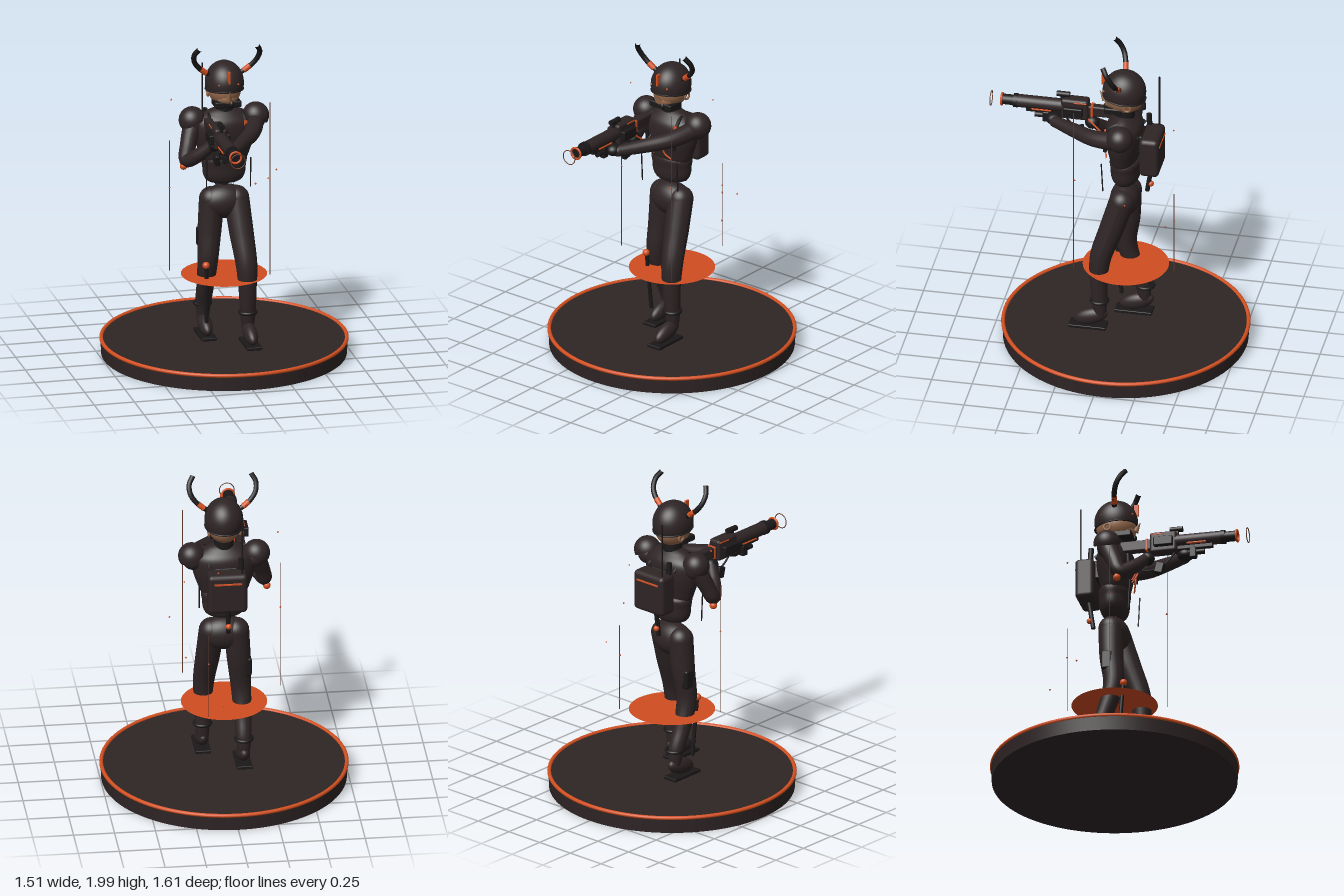
import * as THREE from 'three';
import { RoundedBoxGeometry } from 'three/addons/geometries/RoundedBoxGeometry.js';

const mat = (name, color, side = THREE.FrontSide) => {
  const m = new THREE.MeshStandardMaterial({ color, side });
  m.name = name;
  return m;
};
const V = (p) => new THREE.Vector3(p[0], p[1], p[2]);

export function createModel() {
  const root = new THREE.Group();
  root.name = 'armedFigure';
  const dark = mat('charcoal', 0x2e2425);
  const black = mat('black', 0x1b1819);
  const orange = mat('orange', 0xd45020);
  const glow = mat('orangeSheet', 0xd04c20, THREE.DoubleSide);
  const skin = mat('skin', 0x95684a);
  const wire = mat('wireBrown', 0x6b4030);

  const add = (name, geo, m, pos = [0, 0, 0], rot = [0, 0, 0], scale = [1, 1, 1], parent = root) => {
    const mesh = new THREE.Mesh(geo, m);
    mesh.name = name;
    mesh.position.set(...pos);
    mesh.rotation.set(...rot);
    mesh.scale.set(...scale);
    parent.add(mesh);
    return mesh;
  };
  const ball = (name, pos, size, m) =>
    add(name, new THREE.SphereGeometry(1, 28, 20), m, pos, [0, 0, 0], Array.isArray(size) ? size : [size, size, size]);
  const box = (name, pos, s, m, rot) =>
    add(name, new RoundedBoxGeometry(s[0], s[1], s[2], 2, Math.min(...s) * 0.22), m, pos, rot);
  const rod = (name, a, b, r, m, sides = 16) => {
    const d = V(b).sub(V(a));
    const mesh = add(name, new THREE.CylinderGeometry(r, r, d.length(), sides), m);
    mesh.position.copy(V(a)).addScaledVector(d, 0.5);
    mesh.quaternion.setFromUnitVectors(new THREE.Vector3(0, 1, 0), d.normalize());
    return mesh;
  };
  const cable = (name, pts, r, m) =>
    add(name, new THREE.TubeGeometry(new THREE.CatmullRomCurve3(pts.map(V)), 28, r, 8), m);
  // Tube of varying radius through [x, y, z, r] points, with rounded ends
  const limb = (name, pts, m) => {
    const curve = new THREE.CatmullRomCurve3(pts.map(V));
    const n = 32, sides = 20;
    const geo = new THREE.TubeGeometry(curve, n, 1, sides);
    const p = geo.attributes.position;
    for (let i = 0; i <= n; i++) {
      const c = curve.getPointAt(i / n);
      const t = curve.getUtoTmapping(i / n) * (pts.length - 1);
      const k = Math.min(Math.floor(t), pts.length - 2);
      const r = THREE.MathUtils.lerp(pts[k][3], pts[k + 1][3], t - k);
      for (let j = 0; j <= sides; j++) {
        const q = i * (sides + 1) + j;
        const v = new THREE.Vector3().fromBufferAttribute(p, q).sub(c).multiplyScalar(r).add(c);
        p.setXYZ(q, v.x, v.y, v.z);
      }
    }
    geo.computeVertexNormals();
    add(name, geo, m);
    for (const e of [pts[0], pts[pts.length - 1]]) ball(name + 'End', e.slice(0, 3), e[3], m);
  };
  const lathe = (name, pts, m, pos, scale) =>
    add(name, new THREE.LatheGeometry(new THREE.SplineCurve(pts.map((p) => new THREE.Vector2(...p))).getPoints(40), 40),
      m, pos, [0, 0, 0], scale);

  // Display base with rim, and floating sheet disc
  const BZ = -0.05;
  add('base', new THREE.CylinderGeometry(0.75, 0.745, 0.098, 96), dark, [0, 0.054, BZ]);
  add('baseRim', new THREE.TorusGeometry(0.744, 0.012, 12, 96), orange, [0, 0.102, BZ], [Math.PI / 2, 0, 0]);
  add('glowDisc', new THREE.CircleGeometry(0.262, 64), glow, [0, 0.51, BZ], [-Math.PI / 2, 0, 0]);

  // Legs, ankle cuffs, boots
  limb('leftLeg', [[0.075, 0.99, -0.04, 0.078], [0.09, 0.8, 0.02, 0.075], [0.108, 0.6, 0.085, 0.066],
    [0.112, 0.45, 0.095, 0.055], [0.115, 0.3, 0.09, 0.048], [0.115, 0.2, 0.085, 0.036]], dark);
  limb('rightLeg', [[-0.075, 0.99, -0.055, 0.078], [-0.09, 0.8, -0.05, 0.073], [-0.105, 0.6, -0.035, 0.062],
    [-0.11, 0.42, -0.085, 0.053], [-0.11, 0.3, -0.135, 0.048], [-0.11, 0.2, -0.145, 0.036]], dark);
  ball('pelvis', [0, 0.975, -0.045], [0.15, 0.107, 0.09], dark);
  for (const [x, z] of [[0.115, 0.09], [-0.11, -0.15]]) {
    add('ankleCuff', new THREE.TorusGeometry(0.049, 0.011, 10, 28), black, [x, 0.3, z], [Math.PI / 2, 0, 0]);
    const boot = ball('boot', [x, 0.182, z + 0.055], [0.043, 0.053, 0.11], dark);
    boot.rotation.x = 0.3;
    box('sole', [x, 0.12, z + 0.07], [0.095, 0.02, 0.23], black);
  }
  ball('kneeStud', [-0.132, 0.597, 0.035], 0.022, orange);
  rod('scabbard', [-0.13, 0.59, 0.033], [-0.12, 0.22, 0], 0.012, black);
  box('thighPouch', [-0.135, 0.75, -0.065], [0.06, 0.12, 0.07], black);

  // Torso: spine, abdomen, chest, straps
  rod('spine', [0, 1.04, -0.045], [0, 1.15, -0.045], 0.017, black);
  lathe('abdomen', [[0.001, 1.1], [0.09, 1.105], [0.125, 1.14], [0.134, 1.2], [0.13, 1.27], [0.001, 1.3]],
    dark, [0, 0, -0.05], [1, 1, 0.68]);
  lathe('chest', [[0.001, 1.22], [0.12, 1.235], [0.165, 1.32], [0.193, 1.42], [0.185, 1.5], [0.12, 1.55], [0.06, 1.575], [0.001, 1.58]],
    dark, [0, 0, -0.042], [1, 1, 0.58]);
  for (const s of [-1, 1]) {
    rod('hangingStrap', [s * 0.137, 1.09, 0.065], [s * 0.137, 1.28, 0.075], 0.004, black, 8);
    cable('shoulderStrap', [[s * 0.1, 1.35, 0.06], [s * 0.11, 1.5, 0.045], [s * 0.1, 1.545, -0.03], [s * 0.1, 1.46, -0.15]], 0.012, black);
    box('strapMark', [s * 0.11, 1.49, 0.055], [0.02, 0.04, 0.012], orange);
  }
  cable('chestCable', [[0.065, 1.41, 0.07], [0.035, 1.37, 0.075], [0.035, 1.32, 0.07], [0.075, 1.285, 0.055]], 0.005, orange);
  cable('chestCable', [[-0.02, 1.4, 0.075], [-0.035, 1.36, 0.1], [-0.045, 1.3, 0.068]], 0.005, orange);

  // Head: face, collar, helmet
  rod('neck', [0, 1.53, -0.045], [0, 1.63, -0.045], 0.06, black, 24);
  ball('skull', [0, 1.695, -0.04], [0.1, 0.105, 0.122], skin);
  ball('jaw', [0, 1.655, 0.01], [0.07, 0.05, 0.07], skin);
  add('nose', new THREE.ConeGeometry(0.02, 0.07, 10), skin, [0, 1.69, 0.096], [0.5, 0, 0]);
  box('chinGuard', [0, 1.622, 0.015], [0.165, 0.04, 0.11], black);
  ball('mouthpiece', [0.02, 1.625, 0.068], [0.016, 0.022, 0.016], black);
  add('helmet', new THREE.SphereGeometry(1, 40, 24, 0, Math.PI * 2, 0, Math.PI * 0.6),
    mat('helmetCharcoal', 0x2e2425, THREE.DoubleSide), [0, 1.735, -0.041], [-0.05, 0, 0], [0.118, 0.135, 0.133]);
  add('helmetRim', new THREE.TorusGeometry(0.114, 0.005, 8, 40), black, [0, 1.695, -0.041], [Math.PI / 2 - 0.08, 0, 0], [1, 1.13, 1]);
  box('helmetCrest', [0, 1.8, 0.085], [0.012, 0.075, 0.03], orange);
  for (const s of [-1, 1]) {
    add('ear', new THREE.TorusGeometry(0.02, 0.007, 8, 18), skin, [s * 0.096, 1.665, -0.075], [0, Math.PI / 2, 0]);
    ball('helmetRivet', [s * 0.06, 1.752, 0.074], 0.006, orange);
    cable('horn', [[s * 0.09, 1.79, -0.03], [s * 0.15, 1.83, -0.02], [s * 0.197, 1.89, 0], [s * 0.203, 1.945, 0.03], [s * 0.178, 1.988, 0.058]], 0.016, black);
    rod('hornBand', [s * 0.118, 1.806, -0.025], [s * 0.155, 1.836, -0.018], 0.0175, orange);
    // Shoulder pads
    add('shoulderPad', new THREE.SphereGeometry(0.082, 28, 14, 0, Math.PI * 2, 0, Math.PI * 0.55), dark,
      [s * 0.198, 1.505, -0.052], [0, 0, -s * 0.4]);
    ball('shoulder', [s * 0.19, 1.48, -0.05], 0.065, dark);
  }

  // Arms and gloves
  limb('leftArm', [[0.195, 1.485, -0.05, 0.058], [0.135, 1.455, 0.12, 0.05], [0.03, 1.435, 0.27, 0.043], [-0.06, 1.425, 0.4, 0.035]], dark);
  limb('rightArm', [[-0.195, 1.485, -0.05, 0.058], [-0.235, 1.37, 0, 0.05], [-0.255, 1.285, 0.04, 0.045],
    [-0.2, 1.33, 0.11, 0.043], [-0.125, 1.41, 0.17, 0.034]], dark);
  ball('elbowStud', [-0.27, 1.24, 0.025], 0.023, orange);
  ball('leftGlove', [-0.085, 1.43, 0.41], [0.045, 0.038, 0.05], black);
  ball('rightGlove', [-0.115, 1.415, 0.18], [0.04, 0.042, 0.045], black);

  // Rifle, along z
  const gx = -0.117, gy = 1.512;
  const along = (name, z0, z1, r, m, y = gy) => rod(name, [gx, y, z0], [gx, y, z1], r, m, 24);
  along('barrel', 0.34, 0.66, 0.04, dark);
  along('muzzle', 0.64, 0.735, 0.032, black);
  along('barrelBand', 0.64, 0.665, 0.043, black);
  add('muzzleRing', new THREE.TorusGeometry(0.035, 0.007, 10, 32), orange, [gx, gy, 0.738]);
  add('sightRing', new THREE.TorusGeometry(0.045, 0.003, 8, 40), wire, [gx, gy - 0.003, 0.805]);
  box('receiver', [gx, 1.505, 0.285], [0.08, 0.135, 0.17], dark);
  for (const s of [-1, 1]) box('sideBlock', [gx + s * 0.05, 1.5, 0.29], [0.035, 0.06, 0.12], black);
  box('stock', [gx, 1.5, 0.11], [0.05, 0.07, 0.2], dark);
  box('stockBand', [gx, 1.5, 0.18], [0.056, 0.076, 0.015], orange);
  along('scope', 0.32, 0.4, 0.017, black, 1.592);
  box('scopeMount', [gx, 1.567, 0.36], [0.02, 0.04, 0.03], black);
  box('underRail', [gx, 1.465, 0.47], [0.03, 0.03, 0.24], black);
  box('railStripe', [gx, 1.482, 0.49], [0.075, 0.008, 0.12], orange);
  box('railStripe', [gx, 1.557, 0.25], [0.084, 0.008, 0.08], orange);
  box('foregrip', [gx, 1.425, 0.465], [0.04, 0.07, 0.045], black);
  along('lamp', 0.44, 0.535, 0.017, black, 1.43);
  box('magazine', [gx, 1.345, 0.255], [0.035, 0.07, 0.055], black, [0.25, 0, 0]);
  cable('sling', [[gx, 1.45, 0.36], [gx + 0.01, 1.37, 0.28], [gx + 0.03, 1.35, 0.16], [gx + 0.06, 1.42, 0.08]], 0.006, black);
  cable('feedCable', [[gx + 0.03, 1.45, 0.2], [gx + 0.05, 1.38, 0.12], [gx + 0.06, 1.31, 0.07]], 0.006, orange);

  // Backpack, antenna, back sheath
  box('backpack', [0, 1.333, -0.213], [0.24, 0.255, 0.12], dark);
  box('backpackStripe', [0, 1.405, -0.273], [0.17, 0.012, 0.008], orange);
  box('backpackMount', [0, 1.4, -0.14], [0.14, 0.12, 0.05], black);
  rod('antenna', [-0.09, 1.42, -0.24], [-0.09, 1.8, -0.24], 0.005, black, 8);
  rod('antennaBase', [-0.09, 1.44, -0.18], [-0.09, 1.53, -0.175], 0.017, black);
  rod('backSheath', [-0.01, 1.035, -0.18], [-0.01, 1.23, -0.21], 0.014, black);
  ball('sheathStud', [-0.01, 1.087, -0.203], 0.018, orange);

  // Hanging wires and drifting sparks
  for (const [x, z, y0, y1] of [[-0.352, 0, 0.57, 1.4], [0.22, 0.23, 0.575, 1.675], [0.135, -0.375, 0.57, 1.12]])
    rod('hangingWire', [x, y0, z], [x, y1, z], 0.0025, wire, 6);
  for (const p of [[-0.327, 1.64, -0.06], [0.34, 1.127, -0.11], [0.268, 0.965, -0.348], [0.055, 0.685, -0.465],
    [0.13, 0.925, -0.375], [0.21, 1.19, 0.225], [0.07, 1.53, -0.36], [-0.35, 1.1, 0]])
    add('spark', new THREE.OctahedronGeometry(0.007), orange, p);

  return root;
}
